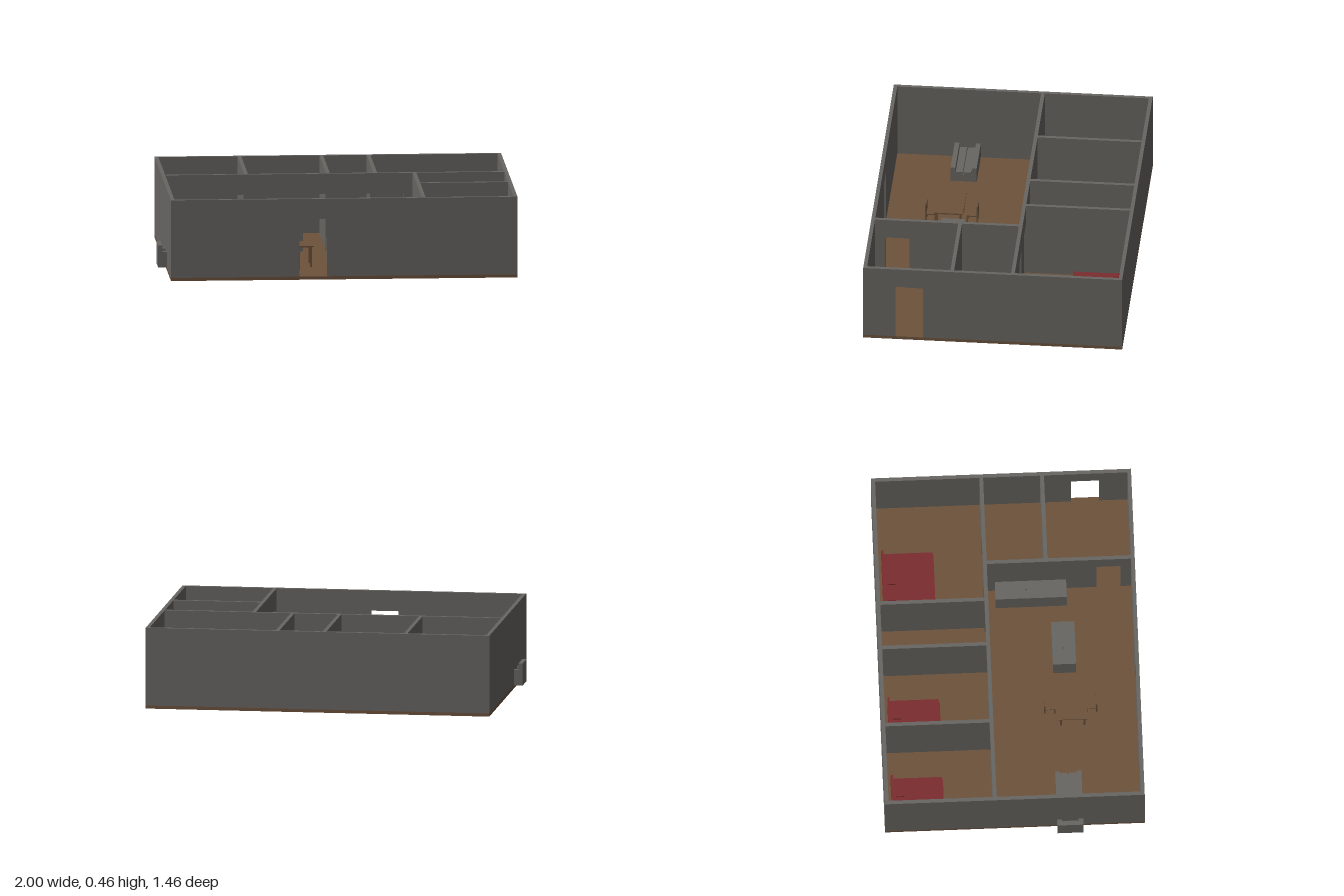
import * as THREE from 'three';

const FLOOR = 0.018, TOP = 0.46, DOOR_TOP = 0.345, T = 0.021;

export function createModel() {
  const model = new THREE.Group();
  model.name = 'house';
  const mat = (name, color) => {
    const m = new THREE.MeshStandardMaterial({ color });
    m.name = name;
    return m;
  };
  const grey = mat('wall grey', 0x686662);
  const brown = mat('wood brown', 0x6c523c);
  const red = mat('bedding red', 0x7c2c2f);

  const group = (name) => {
    const g = new THREE.Group();
    g.name = name;
    model.add(g);
    return g;
  };

  // box from its low and high corners
  const box = (parent, name, material, [x0, y0, z0], [x1, y1, z1]) => {
    const m = new THREE.Mesh(new THREE.BoxGeometry(x1 - x0, y1 - y0, z1 - z0), material);
    m.position.set((x0 + x1) / 2, (y0 + y1) / 2, (z0 + z1) / 2);
    m.name = name;
    parent.add(m);
  };

  // wall along x or z, with its low side at "at" and doorways cut up from the floor
  const walls = group('walls');
  const wall = (name, axis, from, to, at, doors = [], thick = T) => {
    const s = new THREE.Shape();
    s.moveTo(from, FLOOR);
    for (const [a, b] of doors) {
      s.lineTo(a, FLOOR);
      s.lineTo(a, DOOR_TOP);
      s.lineTo(b, DOOR_TOP);
      s.lineTo(b, FLOOR);
    }
    s.lineTo(to, FLOOR);
    s.lineTo(to, TOP);
    s.lineTo(from, TOP);
    s.closePath();
    const m = new THREE.Mesh(new THREE.ExtrudeGeometry(s, { depth: thick, bevelEnabled: false }), grey);
    if (axis === 'z') {
      m.rotation.y = -Math.PI / 2;
      m.position.x = at + thick;
    } else m.position.z = at;
    m.name = name;
    walls.add(m);
  };

  box(model, 'floor', brown, [-0.95, 0, -0.73], [1, FLOOR, 0.73]);

  // outer walls
  wall('frontWall', 'x', -0.95, 1, 0.73 - T, [[-0.227, -0.072]]);
  wall('backWall', 'x', -0.95, 1, -0.73);
  wall('leftEndWall', 'z', -0.73 + T, 0.73 - T, -0.95);
  wall('rightEndWall', 'z', -0.73 + T, 0.73 - T, 1 - T, [[0.392, 0.549]]);

  // inner walls
  wall('bedroomCorridorWall', 'x', -0.95 + T, 1 - T, -0.123,
    [[-0.605, -0.488], [-0.155, -0.027], [0.085, 0.222], [0.275, 0.41], [0.55, 0.683]]);
  for (const x of [-0.484, -0.023, 0.243]) wall('bedroomDivider', 'z', -0.73 + T, -0.123, x);
  wall('sideRoomWall', 'z', -0.123 + T, 0.73 - T, 0.463, [[0.515, 0.65]]);
  wall('sideRoomDivider', 'x', 0.463 + T, 1 - T, 0.219);

  // beds: frame, mattress, headboard, two pillows
  const bed = (x0, x1) => {
    const g = group('bed');
    box(g, 'bedFrame', red, [x0, FLOOR, -0.675], [x1, 0.05, -0.393]);
    box(g, 'mattress', red, [x0 + 0.007, 0.05, -0.675], [x1 - 0.007, 0.108, -0.4]);
    box(g, 'headboard', red, [x0, FLOOR, -0.687], [x1, 0.15, -0.675]);
    for (const p of [0.024, 0.121]) {
      box(g, 'pillow', red, [x0 + p, 0.108, -0.66], [x0 + p + 0.074, 0.122, -0.615]);
    }
  };
  bed(-0.903, -0.663);
  bed(-0.438, -0.198);
  bed(0.366, 0.68);

  // sofa, with its back pushed through the end wall
  const sofa = group('sofa');
  box(sofa, 'sofaBack', grey, [-1, FLOOR, 0.238], [-0.976, 0.144, 0.385]);
  box(sofa, 'sofaBase', grey, [-0.976, FLOOR, 0.265], [-0.667, 0.06, 0.358]);
  for (const z of [0.238, 0.358]) {
    box(sofa, 'sofaArm', grey, [-0.976, FLOOR, z], [-0.663, 0.107, z + 0.027]);
  }
  for (const z of [0.267, 0.315]) {
    box(sofa, 'sofaCushion', grey, [-0.976, 0.06, z], [-0.663, 0.08, z + 0.041]);
  }

  // dining table
  const table = group('diningTable');
  box(table, 'tableTop', brown, [-0.368, 0.133, 0.268], [-0.126, 0.141, 0.43]);
  for (const x of [-0.358, -0.147]) {
    for (const z of [0.278, 0.409]) {
      box(table, 'tableLeg', brown, [x, FLOOR, z], [x + 0.011, 0.133, z + 0.011]);
    }
  }

  // chairs face the table from both sides; dir points to the backrest
  const chair = (zBack, dir) => {
    const g = group('chair');
    const span = (a, b) => [zBack - dir * a, zBack - dir * b].sort((p, q) => p - q);
    const part = (name, x0, x1, y0, y1, a, b) => {
      const [z0, z1] = span(a, b);
      box(g, name, brown, [x0, y0, z0], [x1, y1, z1]);
    };
    part('chairSeat', -0.283, -0.208, 0.073, 0.08, 0, 0.064);
    part('chairBack', -0.283, -0.208, 0.08, 0.139, 0, 0.009);
    for (const x of [-0.283, -0.216]) {
      for (const d of [0, 0.056]) part('chairLeg', x, x + 0.008, FLOOR, 0.073, d, d + 0.008);
    }
  };
  chair(0.19, -1);
  chair(0.49, 1);

  // kitchen island and counter, each with a small tap
  const counter = (name, x0, x1, z0, z1, tapX, tapZ) => {
    const g = group(name);
    box(g, name + 'Block', grey, [x0, FLOOR, z0], [x1, 0.16, z1]);
    const tap = new THREE.Mesh(new THREE.CylinderGeometry(0.004, 0.004, 0.02, 10), grey);
    tap.position.set(tapX, 0.17, tapZ);
    tap.name = 'tap';
    g.add(tap);
  };
  counter('kitchenIsland', -0.043, 0.211, 0.25, 0.38, 0.053, 0.31);
  counter('kitchenCounter', 0.358, 0.463, -0.057, 0.344, 0.41, 0.115);

  return model;
}
